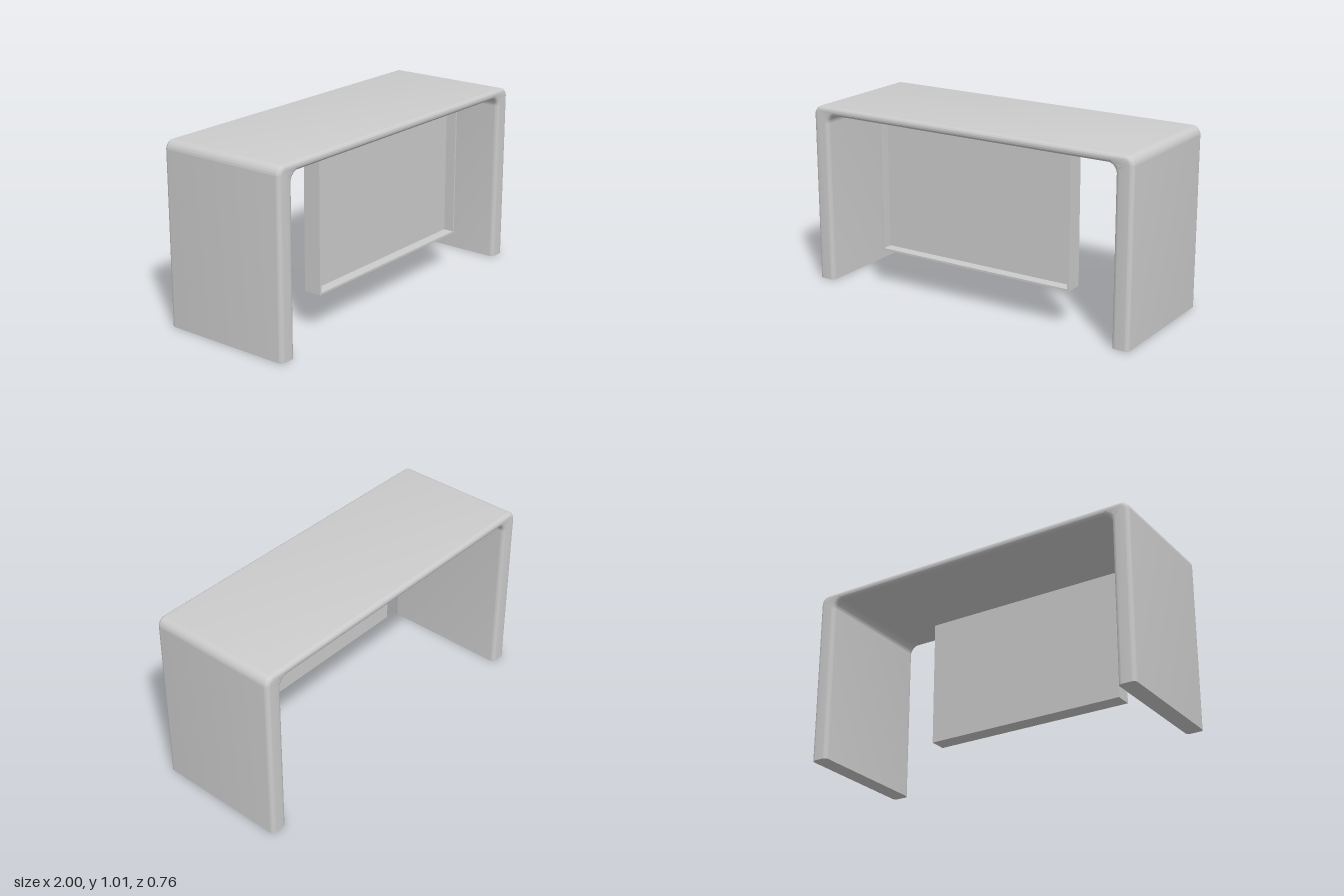
import * as THREE from 'three';
import { toCreasedNormals } from 'three/addons/utils/BufferGeometryUtils.js';

export function createModel() {
  const group = new THREE.Group();
  group.name = 'desk';
  const grey = new THREE.MeshStandardMaterial({ color: 0xcccccc });
  grey.name = 'grey';

  const add = (name, geometry, x = 0, y = 0, z = 0) => {
    const mesh = new THREE.Mesh(geometry, grey);
    mesh.name = name;
    mesh.position.set(x, y, z);
    group.add(mesh);
  };

  // Waterfall body: one U-shaped section with softly rounded edges
  const b = 0.022, depth = 0.76, below = -0.2;
  const outX = 1 - b, outY = 1.013 - b, outR = 0.05 - b;
  const inX = 0.902 + b, inY = 0.965 + b, inR = 0.05 + b;
  const u = new THREE.Shape();
  u.moveTo(outX, below);
  u.lineTo(outX, outY - outR);
  u.absarc(outX - outR, outY - outR, outR, 0, Math.PI / 2, false);
  u.absarc(-outX + outR, outY - outR, outR, Math.PI / 2, Math.PI, false);
  u.lineTo(-outX, below);
  u.lineTo(-inX, below);
  u.lineTo(-inX, inY - inR);
  u.absarc(-inX + inR, inY - inR, inR, Math.PI, Math.PI / 2, true);
  u.absarc(inX - inR, inY - inR, inR, Math.PI / 2, 0, true);
  u.lineTo(inX, below);
  u.closePath();
  const body = new THREE.ExtrudeGeometry(u, {
    depth: depth - 2 * b, bevelEnabled: true, bevelSize: b, bevelThickness: b,
    bevelSegments: 6, curveSegments: 10,
  });
  body.translate(0, 0, -depth / 2 + b);
  // Cut the feet flat at the floor
  const p = body.attributes.position;
  for (let i = 0; i < p.count; i++) p.setY(i, Math.max(0, p.getY(i)));
  add('waterfallBody', toCreasedNormals(body, 0.6));

  // Modesty panel: a shallow tray open towards the front
  const w = 0.605, top = 0.966, bottom = 0.218, t = 0.011;
  const midY = (top + bottom) / 2, h = (top - bottom) / 2;
  add('modestyPanel', new THREE.BoxGeometry(2 * (w - t), 2 * (h - t), 0.04), 0, midY, 0.22);

  const rim = new THREE.Shape([
    new THREE.Vector2(-w, -h), new THREE.Vector2(w, -h),
    new THREE.Vector2(w, h), new THREE.Vector2(-w, h),
  ]);
  rim.holes.push(new THREE.Path([
    new THREE.Vector2(-w + t, -h + t), new THREE.Vector2(-w + t, h - t),
    new THREE.Vector2(w - t, h - t), new THREE.Vector2(w - t, -h + t),
  ]));
  add('panelRim', new THREE.ExtrudeGeometry(rim, { depth: 0.1, bevelEnabled: false }), 0, midY, 0.2);

  return group;
}
